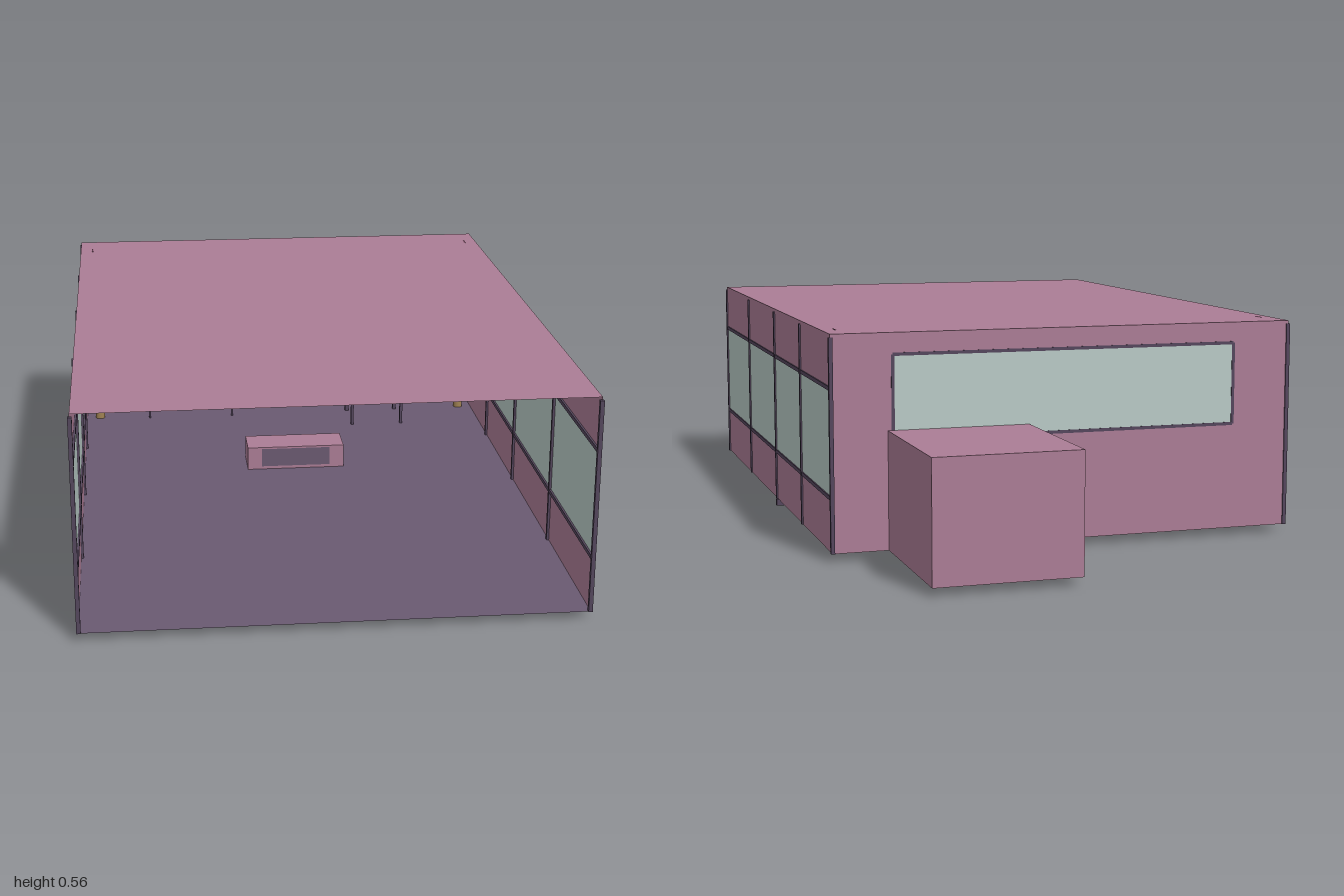
import * as THREE from 'three';

const mat = (name, color, side = THREE.FrontSide) => {
  const m = new THREE.MeshStandardMaterial({ color, side });
  m.name = name;
  return m;
};

export function createModel() {
  const D = THREE.DoubleSide;
  const pink = mat('dusty pink wall', 0xab7d95, D);
  const glass = mat('pale mint', 0xb9cac6, D);
  const floorMat = mat('purple floor', 0x6a5a71, D);
  const frame = mat('dark purple frame', 0x54465c);
  const plum = mat('plum', 0x8e5d76, D);
  const gold = mat('old gold', 0xa08253);

  const root = new THREE.Group();
  root.name = 'pavilion';
  const group = (name) => {
    const g = new THREE.Group();
    g.name = name;
    root.add(g);
    return g;
  };
  const add = (parent, name, geo, material, x = 0, y = 0, z = 0) => {
    const m = new THREE.Mesh(geo, material);
    m.name = name;
    m.position.set(x, y, z);
    parent.add(m);
    return m;
  };
  // Solid bar given by its extents
  const bar = (parent, name, material, x0, x1, y0, y1, z0, z1) =>
    add(parent, name, new THREE.BoxGeometry(x1 - x0, y1 - y0, z1 - z0), material,
      (x0 + x1) / 2, (y0 + y1) / 2, (z0 + z1) / 2);
  // Thin sheets: flat (level), side (faces x), back (faces -z)
  const flat = (p, name, m, x0, x1, z0, z1, y) =>
    add(p, name, new THREE.PlaneGeometry(x1 - x0, z1 - z0).rotateX(-Math.PI / 2), m, (x0 + x1) / 2, y, (z0 + z1) / 2);
  const side = (p, name, m, z0, z1, y0, y1, x) =>
    add(p, name, new THREE.PlaneGeometry(z1 - z0, y1 - y0).rotateY(Math.sign(x) * Math.PI / 2), m, x, (y0 + y1) / 2, (z0 + z1) / 2);
  const back = (p, name, m, x0, x1, y0, y1, z) =>
    add(p, name, new THREE.PlaneGeometry(x1 - x0, y1 - y0).rotateY(Math.PI), m, (x0 + x1) / 2, (y0 + y1) / 2, z);

  const F = 0.02, R = 0.553, W = 0.6, B = -0.6, Z = 0.995;

  // Floor, roof and the beam under the floor
  const shell = group('shell');
  flat(shell, 'floor', floorMat, -W, W, B, Z, F);
  flat(shell, 'roof', pink, -W, W, B, Z, R);
  bar(shell, 'floorBeam', frame, -0.604, 0.604, 0, 0.018, 0.13, 0.142);

  // Glazed side walls with mullions and rails
  for (const s of [1, -1]) {
    const wall = group(s > 0 ? 'leftWall' : 'rightWall');
    side(wall, 'lowerWall', pink, B, Z, F, 0.155, s * W);
    side(wall, 'windowBand', glass, B, Z, 0.155, 0.422, s * W);
    side(wall, 'upperWall', pink, B, Z, 0.422, R, s * W);
    const xs = s > 0 ? [0.594, 0.604] : [-0.604, -0.594];
    for (const z of [0.993, 0.565, 0.137, -0.231, -0.598])
      bar(wall, 'mullion', frame, ...xs, F, 0.545, z - 0.005, z + 0.005);
    for (const y of [0.155, 0.422])
      bar(wall, 'rail', frame, s > 0 ? 0.595 : -0.603, s > 0 ? 0.603 : -0.595, y - 0.005, y + 0.005, B, Z);
  }

  // Back wall around a long window
  const rear = group('backWall');
  const wx = 0.447, w0 = 0.292, w1 = 0.5;
  back(rear, 'lowerWall', pink, -W, W, F, w0, B);
  back(rear, 'upperWall', pink, -W, W, w1, R, B);
  back(rear, 'wallEnd', pink, wx, W, w0, w1, B);
  back(rear, 'wallEnd', pink, -W, -wx, w0, w1, B);
  back(rear, 'backWindow', glass, -wx, wx, w0, w1, B);
  for (const y of [w0, w1])
    bar(rear, 'windowRail', frame, -wx, wx, y - 0.004, y + 0.004, B - 0.001, B + 0.008);
  for (const x of [-wx, wx])
    bar(rear, 'windowPost', frame, x - 0.004, x + 0.004, w0, w1, B - 0.001, B + 0.008);

  // Box annex behind the back wall
  const annex = group('annex');
  const a0 = 0.1, a1 = 0.46, aTop = 0.315;
  flat(annex, 'annexFloor', floorMat, a0, a1, -1, B, F);
  flat(annex, 'annexRoof', pink, a0, a1, -1, B, aTop);
  side(annex, 'annexSide', pink, -1, B, F, aTop, a1);
  const inner = side(annex, 'annexSide', pink, -1, B, F, aTop, a0);
  inner.rotation.y = Math.PI;
  back(annex, 'annexBack', pink, a0, a1, F, aTop, -1);

  // Gold posts and wall lamps
  for (const s of [1, -1]) {
    add(root, 'post', new THREE.CylinderGeometry(0.014, 0.014, R - F - 0.002, 12), gold, s * 0.56, (F + R) / 2, -0.5);
    bar(root, 'wallLamp', gold, s * 0.474 - 0.006, s * 0.474 + 0.006, 0.33, 0.4, B + 0.002, B + 0.014);
  }

  // Swag: a ribbon hanging between the posts
  const swag = new THREE.Shape();
  const sag = (x) => 0.38 + 0.165 * Math.pow(Math.abs(x) / 0.567, 1.65);
  const steps = Array.from({ length: 17 }, (_, i) => -0.567 + (i * 1.134) / 16);
  swag.setFromPoints([
    ...steps.map((x) => new THREE.Vector2(x, sag(x) - 0.01)),
    ...steps.slice().reverse().map((x) => new THREE.Vector2(x, sag(x) + 0.01)),
  ]);
  add(root, 'swag', new THREE.ExtrudeGeometry(swag, { depth: 0.03, bevelEnabled: false }), plum, 0, 0, -0.51);

  // Open shelf rack
  const rack = group('shelfRack');
  const r0 = -0.41, r1 = -0.15, rz0 = -0.58, rz1 = -0.48;
  for (const x of [r0, r1 - 0.006])
    for (const z of [rz0, rz1 - 0.006]) bar(rack, 'rackPost', frame, x, x + 0.006, F, 0.295, z, z + 0.006);
  bar(rack, 'rackTop', frame, r0, r1, 0.29, 0.297, rz0, rz1);
  for (const y of [0.08, 0.152, 0.225])
    bar(rack, 'shelf', glass, r0 + 0.006, r1 - 0.006, y - 0.003, y + 0.003, rz0, rz1);

  // Flared horn beside the rack
  const horn = add(root, 'horn', new THREE.CylinderGeometry(0.035, 0.009, 0.115, 16, 1, true), glass, -0.441, 0.293, -0.45);
  horn.rotation.z = Math.PI / 2 - 0.22;

  // Chair with an open back
  const chair = group('chair');
  const c0 = 0.202, c1 = 0.362, cz0 = -0.5, cz1 = -0.36;
  for (const x of [c0, c1 - 0.01]) {
    bar(chair, 'backPost', frame, x, x + 0.01, F, 0.245, cz0, cz0 + 0.01);
    bar(chair, 'frontLeg', frame, x + 0.002, x + 0.01, F, 0.092, cz1 - 0.01, cz1);
  }
  bar(chair, 'headRail', plum, c0 - 0.002, c1 + 0.002, 0.243, 0.255, cz0 - 0.002, cz0 + 0.012);
  bar(chair, 'seat', glass, c0 + 0.008, c1 - 0.008, 0.091, 0.098, cz0, cz1);

  // Low bench with a dark cushion and pink arms
  const bench = group('bench');
  const bz0 = -0.11, bz1 = -0.01;
  bar(bench, 'cushion', floorMat, -0.097, 0.097, 0.028, 0.08, bz0, bz1);
  bar(bench, 'benchBase', pink, -0.137, 0.137, F, 0.028, bz0, bz1);
  bar(bench, 'benchTop', pink, -0.137, 0.137, 0.08, 0.085, bz0, bz1);
  for (const s of [1, -1])
    bar(bench, 'benchArm', pink, s * 0.117 - 0.02, s * 0.117 + 0.02, 0.028, 0.08, bz0, bz1);

  // Round wall plaque with three wavy bands
  const plaque = group('plaque');
  plaque.position.set(0.462, 0.195, B + 0.008);
  add(plaque, 'disc', new THREE.CylinderGeometry(0.07, 0.07, 0.012, 32).rotateX(Math.PI / 2), plum);
  for (const y of [-0.014, 0, 0.014]) {
    const curve = new THREE.CatmullRomCurve3(
      [[-0.05, 0], [-0.025, 0.006], [0, 0.008], [0.025, 0.006], [0.05, 0]].map(([x, h]) => new THREE.Vector3(x, y + h - 0.004, 0.007)));
    add(plaque, 'wave', new THREE.TubeGeometry(curve, 12, 0.003, 6), gold);
  }
  return root;
}
